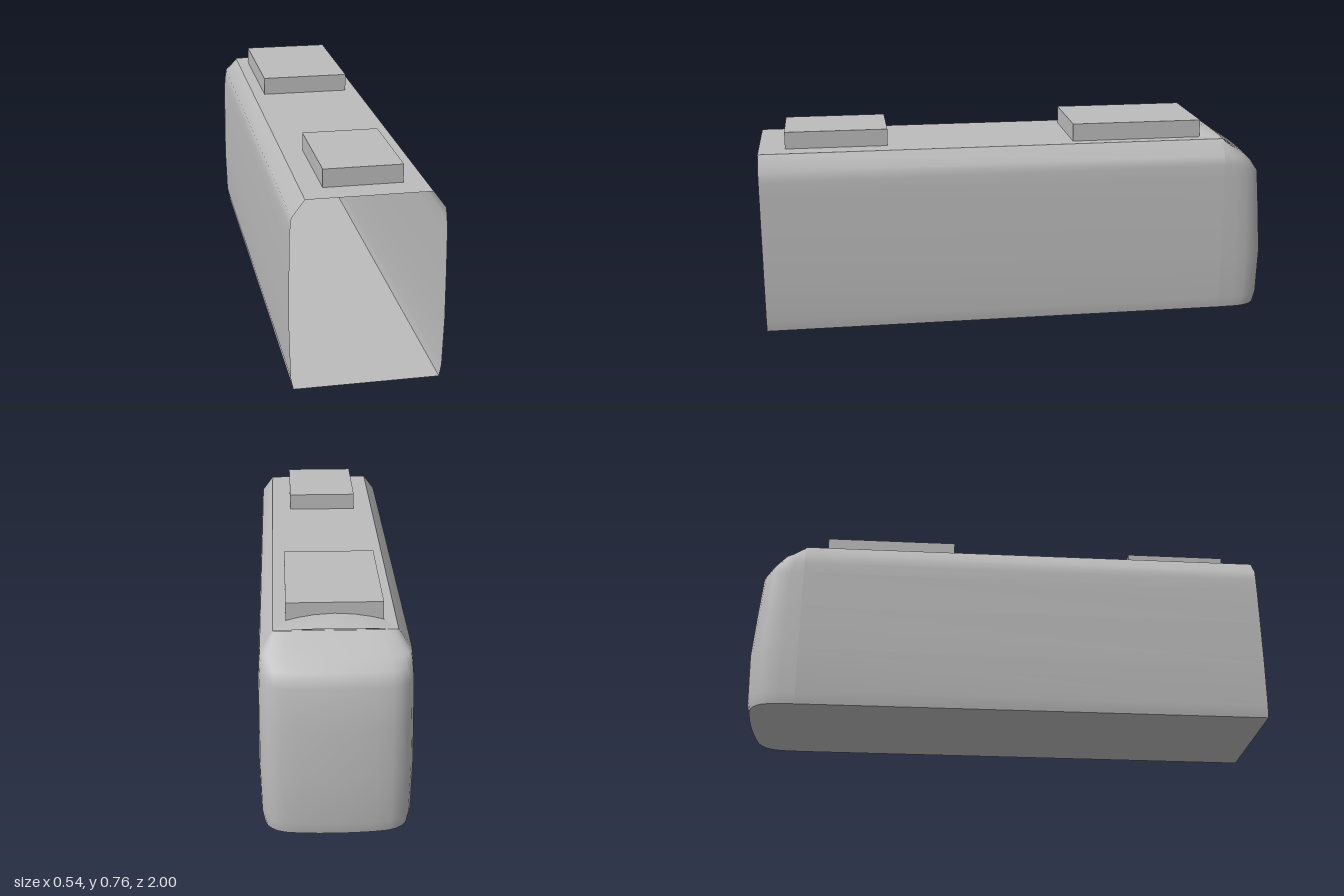
import * as THREE from 'three';

// Smooth skin through rows of [x, y, z] points
function skin(rows) {
  const n = rows[0].length, index = [];
  for (let r = 0; r < rows.length - 1; r++) {
    for (let c = 0; c < n - 1; c++) {
      const a = r * n + c, b = a + n;
      index.push(a, a + 1, b, a + 1, b + 1, b);
    }
  }
  const g = new THREE.BufferGeometry();
  g.setAttribute('position', new THREE.Float32BufferAttribute(rows.flat(2), 3));
  g.setIndex(index);
  g.computeVertexNormals();
  return g;
}

export function createModel() {
  const group = new THREE.Group();
  const grey = new THREE.MeshStandardMaterial({ color: 0xbcbcbc, side: THREE.DoubleSide });
  grey.name = 'bodyGrey';
  const add = (name, geometry) => {
    const mesh = new THREE.Mesh(geometry, grey);
    mesh.name = name;
    group.add(mesh);
    return mesh;
  };

  const front = 1, joint = -0.8, roofY = 0.692;

  // Levels: height, half width, z of the rounded end
  const levels = [
    [0, 0.257, -0.985], [0.045, 0.265, -0.995], [0.22, 0.27, -1], [0.4, 0.269, -0.986],
    [0.55, 0.267, -0.972], [0.595, 0.264, -0.94], [0.632, 0.26, -0.9], [roofY, 0.215, -0.803],
  ];

  // Side walls, open at the front
  for (const [name, s] of [['leftWall', 1], ['rightWall', -1]]) {
    const edge = z => levels.map(([y, w]) => [s * w, y, z]);
    add(name, skin(s > 0 ? [edge(front), edge(joint)] : [edge(joint), edge(front)]));
  }

  // Flat roof and floor
  const plate = (w, y, up) => {
    const row = z => [[-w, y, z], [w, y, z]];
    return skin(up ? [row(front), row(joint)] : [row(joint), row(front)]);
  };
  add('roof', plate(0.215, roofY, true));
  add('floor', plate(0.257, 0, false));

  // Rounded end: a squarish plan curve, scaled at each level
  const half = [[1, 0], [0.995, 0.3], [0.98, 0.52], [0.945, 0.67], [0.89, 0.78],
    [0.81, 0.87], [0.7, 0.93], [0.5, 0.97], [0.25, 0.992]];
  const plan = [...half, [0, 1], ...half.map(([x, d]) => [-x, d]).reverse()];
  const ring = ([y, w, end]) => plan.map(([x, d]) => [x * w, y, joint + d * (end - joint)]);
  const rings = levels.map(ring);
  add('roundedEnd', skin(rings));
  add('endFloor', skin([rings[0].map(([x, y]) => [x, y, joint]), rings[0]]));

  // Low fairing running from the rounded end up to the large roof unit
  const fairing = [[-0.803, 0.215, 0.004], [-0.72, 0.175, 0.026], [-0.64, 0.13, 0.002]];
  add('roofFairing', skin(fairing.map(([z, w, rise]) =>
    [-1, -0.75, -0.4, 0, 0.4, 0.75, 1].map(t => [t * w, roofY + 0.001 + rise * (1 - t * t), z]))));

  // Roof units: half width, top, z range
  for (const [name, w, top, z0, z1] of [
    ['largeRoofUnit', 0.17, 0.76, -0.72, -0.21],
    ['smallRoofUnit', 0.138, 0.757, 0.51, 0.9],
  ]) {
    const unit = add(name, new THREE.BoxGeometry(2 * w, top - roofY, z1 - z0));
    unit.position.set(0, (top + roofY) / 2, (z0 + z1) / 2);
  }

  return group;
}
